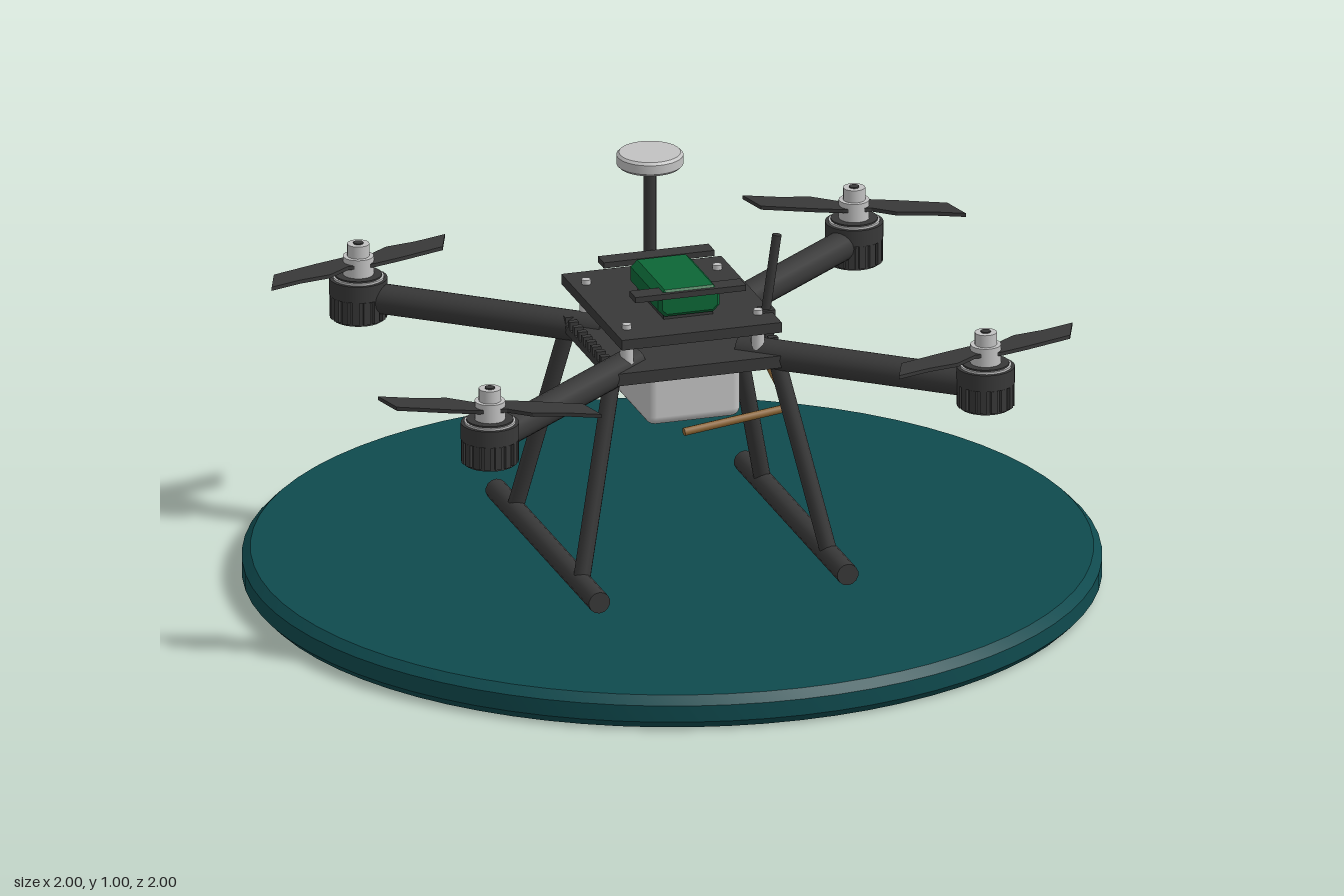
import * as THREE from 'three';
import { RoundedBoxGeometry } from 'three/addons/geometries/RoundedBoxGeometry.js';
import { toCreasedNormals } from 'three/addons/utils/BufferGeometryUtils.js';

const mat = (name, color) => {
  const m = new THREE.MeshStandardMaterial({ color });
  m.name = name;
  return m;
};

export function createModel() {
  const model = new THREE.Group();
  model.name = 'quadcopterOnPad';
  const teal = mat('teal', 0x0f4a4e);
  const dark = mat('carbon', 0x383838);
  const silver = mat('silver', 0xc2c2c2);
  const green = mat('green', 0x0c6636);
  const brown = mat('bronze', 0x8c6432);

  const add = (name, geo, material, x = 0, y = 0, z = 0, parent = model) => {
    const m = new THREE.Mesh(geo, material);
    m.name = name;
    m.position.set(x, y, z);
    parent.add(m);
    return m;
  };
  const box = (name, w, h, d, material, x, y, z, parent) =>
    add(name, new THREE.BoxGeometry(w, h, d), material, x, y, z, parent);
  const cyl = (name, r, y0, y1, material, x, z, parent, seg = 24) =>
    add(name, new THREE.CylinderGeometry(r, r, y1 - y0, seg), material, x, (y0 + y1) / 2, z, parent);
  // Round rod between two points
  const rod = (name, a, b, r, material, seg = 14) => {
    const p = new THREE.Vector3(...a), q = new THREE.Vector3(...b);
    const d = q.clone().sub(p);
    const m = add(name, new THREE.CylinderGeometry(r, r, d.length(), seg), material);
    m.position.copy(p).add(q).multiplyScalar(0.5);
    m.quaternion.setFromUnitVectors(new THREE.Vector3(0, 1, 0), d.normalize());
    return m;
  };
  // Flat shape lying level, shape y pointing to the back
  const flat = (shape, depth, bevel = 0) => new THREE.ExtrudeGeometry(shape, {
    depth, bevelEnabled: bevel > 0, bevelSize: bevel, bevelThickness: bevel, bevelSegments: 1,
  }).rotateX(-Math.PI / 2);

  // Round landing pad with chamfered rims
  const rim = [[0, 0], [0.98, 0], [1, 0.02], [1, 0.06], [0.98, 0.08], [0, 0.08]];
  const pad = new THREE.LatheGeometry(rim.map(p => new THREE.Vector2(...p)), 72);
  add('landingPad', toCreasedNormals(pad, 0.5), teal);

  // Frame plates
  box('lowerPlate', 0.4, 0.03, 0.42, dark, 0, 0.59, 0);
  box('upperPlate', 0.39, 0.025, 0.46, dark, 0, 0.682, -0.003);

  // Standoffs and screws
  for (const x of [-0.16, 0.16]) for (const z of [-0.155, 0.155]) {
    cyl('standoff', 0.016, 0.6, 0.672, silver, x, z, model, 12);
    cyl('screw', 0.011, 0.69, 0.706, silver, x, z, model, 10);
  }

  // Row of cooling teeth on both sides
  for (const x of [-0.205, 0.205]) {
    box('toothRail', 0.022, 0.018, 0.29, dark, x, 0.594, -0.01);
    for (let i = 0; i < 9; i++)
      box('tooth', 0.022, 0.025, 0.016, dark, x, 0.61, -0.145 + i * 0.034);
  }

  // Landing gear
  for (const x of [-1, 1]) {
    rod('skid', [x * 0.303, 0.115, -0.393], [x * 0.303, 0.115, 0.393], 0.026, dark);
    for (const z of [-1, 1])
      rod('leg', [x * 0.303, 0.115, z * 0.253], [x * 0.2, 0.585, z * 0.17], 0.02, dark);
  }

  // Swept propeller blade outline
  const blade = new THREE.Shape([
    [0, 0.03], [0.035, 0.03], [0.09, 0.068], [0.165, 0.08], [0.245, 0.105],
    [0.215, 0.028], [0.1, -0.01], [0.03, -0.03], [0, -0.03],
  ].map(p => new THREE.Vector2(...p)));
  const mirrored = new THREE.Shape(blade.getPoints().map(p => new THREE.Vector2(p.x, -p.y)).reverse());

  // Arms with motors and propellers
  for (const sx of [-1, 1]) for (const sz of [-1, 1]) {
    const x = sx * 0.605, z = sz * 0.5;
    rod('arm', [sx * 0.13, 0.593, sz * 0.11], [x, 0.593, z], 0.036, dark, 18);

    const motor = new THREE.Group();
    motor.name = 'motor';
    motor.position.set(x, 0, z);
    model.add(motor);
    cyl('motorBase', 0.06, 0.537, 0.6, dark, 0, 0, motor);
    cyl('motorBell', 0.068, 0.598, 0.638, dark, 0, 0, motor, 28);
    for (let i = 0; i < 16; i++) {
      const a = (i / 16) * Math.PI * 2;
      const fin = box('motorFin', 0.014, 0.055, 0.016, dark, Math.cos(a) * 0.06, 0.57, Math.sin(a) * 0.06, motor);
      fin.rotation.y = -a;
    }
    cyl('motorRing', 0.06, 0.636, 0.643, silver, 0, 0, motor);
    cyl('motorCap', 0.055, 0.64, 0.647, dark, 0, 0, motor);
    cyl('hub', 0.036, 0.645, 0.692, silver, 0, 0, motor, 20);
    cyl('hubCap', 0.026, 0.69, 0.722, silver, 0, 0, motor, 16);
    cyl('shaft', 0.012, 0.715, 0.725, dark, 0, 0, motor, 12);

    const swap = sx * sz < 0;
    const prop = new THREE.Group();
    prop.name = 'propeller';
    prop.position.y = 0.67;
    prop.rotation.y = swap ? -0.13 : 0;
    motor.add(prop);
    for (const turn of [0, Math.PI])
      add('blade', flat(swap ? mirrored : blade, 0.009), dark, 0, 0, 0, prop).rotation.y = turn;
  }

  // Payload case under the frame
  add('payloadCase', new RoundedBoxGeometry(0.23, 0.135, 0.35, 2, 0.022), silver, 0, 0.518, 0);

  // Battery with chamfered long edges, and its straps
  const w = 0.075, h = 0.033, c = 0.016;
  const section = new THREE.Shape([
    [-w + c, -h], [w - c, -h], [w, -h + c], [w, h - c], [w - c, h], [-w + c, h], [-w, h - c], [-w, -h + c],
  ].map(p => new THREE.Vector2(...p)));
  add('battery', new THREE.ExtrudeGeometry(section, { depth: 0.21, bevelSize: 0.008, bevelOffset: -0.008, bevelThickness: 0.008, bevelSegments: 1 }),
    green, 0, 0.736, -0.081);
  box('batteryTray', 0.12, 0.014, 0.2, dark, 0, 0.699, 0.024);
  for (const z of [-0.12, 0.12]) box('strapBar', 0.27, 0.014, 0.046, dark, 0, 0.757, z);

  // Satellite receiver on a mast
  cyl('mast', 0.015, 0.69, 0.97, dark, 0, -0.168, model, 14);
  const puck = [[0, 0.965], [0.072, 0.965], [0.078, 0.971], [0.078, 0.993], [0.072, 0.999], [0, 0.999]];
  add('receiverDisc', toCreasedNormals(new THREE.LatheGeometry(puck.map(p => new THREE.Vector2(...p)), 32), 0.5),
    silver, 0, 0, -0.168);

  // Whip antenna
  box('antennaMount', 0.035, 0.03, 0.035, dark, 0.185, 0.685, 0.14);
  rod('antenna', [0.182, 0.68, 0.14], [0.211, 0.88, 0.14], 0.011, dark, 10);

  // Bent bronze probe
  const bend = [[0.2, 0.6, -0.09], [0.268, 0.42, 0.07], [0, 0.396, 0.09]];
  for (let i = 0; i < 2; i++) rod('probe', bend[i], bend[i + 1], 0.01, brown, 8);
  add('probeJoint', new THREE.SphereGeometry(0.012, 10, 8), brown, ...bend[1]);

  return model;
}
